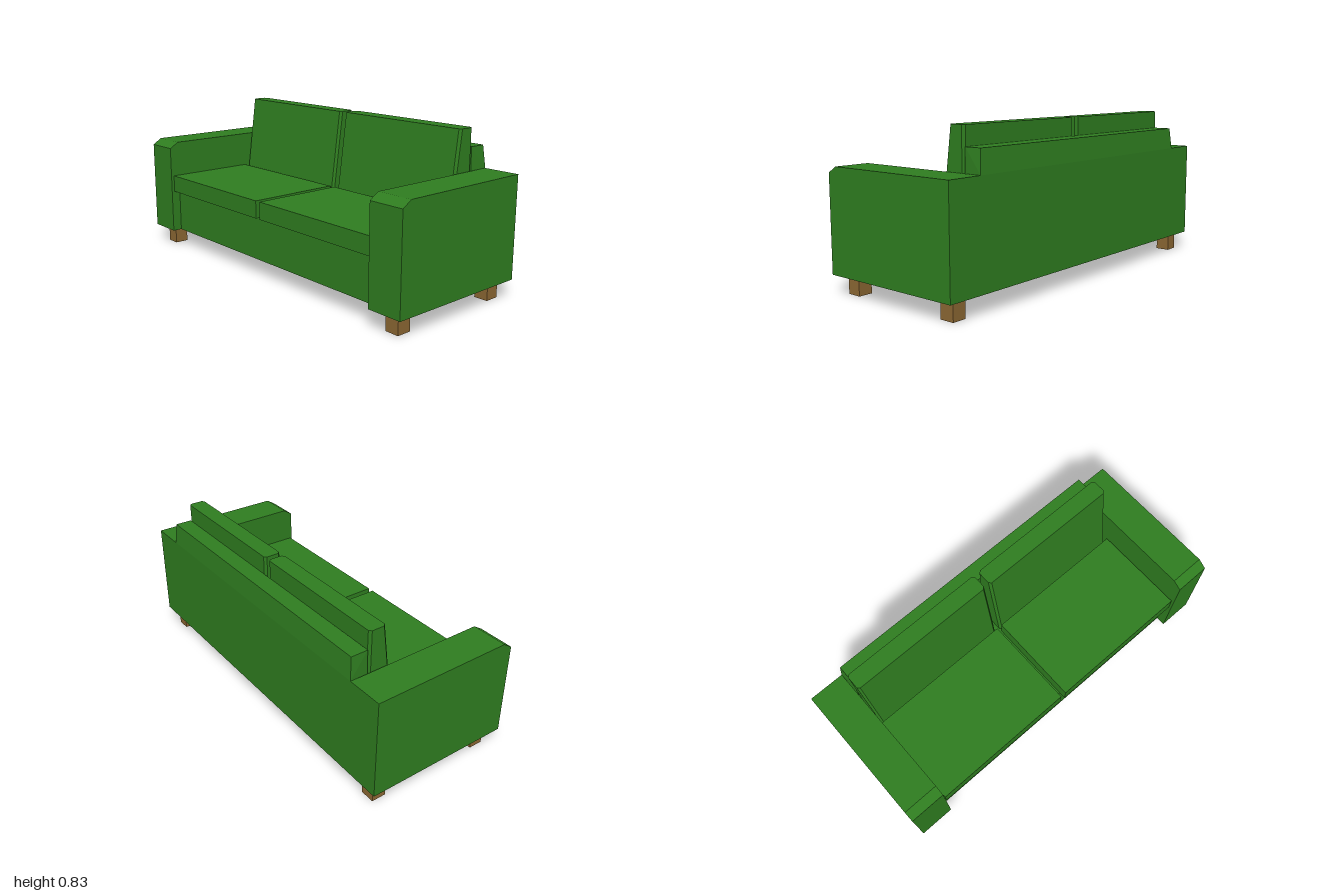
import * as THREE from 'three';

const green = new THREE.MeshStandardMaterial({ color: 0x2f7d20, flatShading: true });
const wood = new THREE.MeshStandardMaterial({ color: 0x8b6733, flatShading: true });

// Box given by its lower and upper limits on each axis
function boxBetween(name, [x0, x1], [y0, y1], [z0, z1], material) {
  const mesh = new THREE.Mesh(new THREE.BoxGeometry(x1 - x0, y1 - y0, z1 - z0), material);
  mesh.position.set((x0 + x1) / 2, (y0 + y1) / 2, (z0 + z1) / 2);
  mesh.name = name;
  return mesh;
}

// Side outline of [z, y] points, extruded along x
function sideProfile(points, x0, x1) {
  const shape = new THREE.Shape(points.map(([z, y]) => new THREE.Vector2(-z, y)));
  const geometry = new THREE.ExtrudeGeometry(shape, { depth: x1 - x0, bevelEnabled: false });
  return geometry.rotateY(Math.PI / 2).translate(x0, 0, 0);
}

// Apply a rule to every vertex
function reshape(geometry, rule) {
  const p = geometry.attributes.position;
  const v = new THREE.Vector3();
  for (let i = 0; i < p.count; i++) {
    rule(v.fromBufferAttribute(p, i));
    p.setXYZ(i, v.x, v.y, v.z);
  }
  geometry.computeVertexNormals();
  return geometry;
}

// Upright cushion: chamfered plan, front face leaning back
function backCushionGeometry(x0, x1) {
  const y0 = 0.33, y1 = 0.83, back = -0.292, front = -0.135, c = 0.012;
  const plan = [
    [x0 + c, front], [x1 - c, front], [x1, front - c], [x1, back + c],
    [x1 - c, back], [x0 + c, back], [x0, back + c], [x0, front - c],
  ];
  const shape = new THREE.Shape(plan.map(([x, z]) => new THREE.Vector2(x, -z)));
  const geometry = new THREE.ExtrudeGeometry(shape, { depth: y1 - y0, bevelEnabled: false });
  geometry.rotateX(-Math.PI / 2).translate(0, y0, 0);
  return reshape(geometry, (v) => {
    if (v.z > -0.2) v.z -= 0.067 * (v.y - y0) / (y1 - y0);
  });
}

export function createModel() {
  const sofa = new THREE.Group();
  sofa.name = 'sofa';

  // Base under the seat
  sofa.add(boxBetween('base', [-0.81, 0.81], [0.097, 0.332], [-0.395, 0.347], green));

  // Backrest, narrowing above the arms
  const backGeometry = reshape(
    sideProfile([[-0.395, 0.332], [-0.295, 0.332], [-0.295, 0.735], [-0.385, 0.735], [-0.395, 0.62]], -0.81, 0.81),
    (v) => { if (v.y > 0.7) v.x *= 0.985; },
  );
  const backrest = new THREE.Mesh(backGeometry, green);
  backrest.name = 'backrest';
  sofa.add(backrest);

  for (const [side, s] of [['left', 1], ['right', -1]]) {
    const span = (a, b) => (s > 0 ? [a, b] : [-b, -a]);

    // Arm with a chamfered front top edge
    const armOutline = [[-0.395, 0.097], [0.398, 0.097], [0.398, 0.588], [0.348, 0.62], [-0.395, 0.62]];
    const arm = new THREE.Mesh(sideProfile(armOutline, ...span(0.81, 1)), green);
    arm.name = `${side}Arm`;
    sofa.add(arm);

    // Cushions
    sofa.add(boxBetween(`${side}SeatCushion`, span(0.015, 0.804), [0.334, 0.427], [-0.125, 0.385], green));
    const cushion = new THREE.Mesh(backCushionGeometry(...span(0.015, 0.804)), green);
    cushion.name = `${side}BackCushion`;
    sofa.add(cushion);

    // Legs
    sofa.add(boxBetween(`${side}FrontLeg`, span(0.87, 0.945), [0, 0.097], [0.272, 0.348], wood));
    sofa.add(boxBetween(`${side}BackLeg`, span(0.87, 0.945), [0, 0.097], [-0.355, -0.279], wood));
  }
  return sofa;
}
